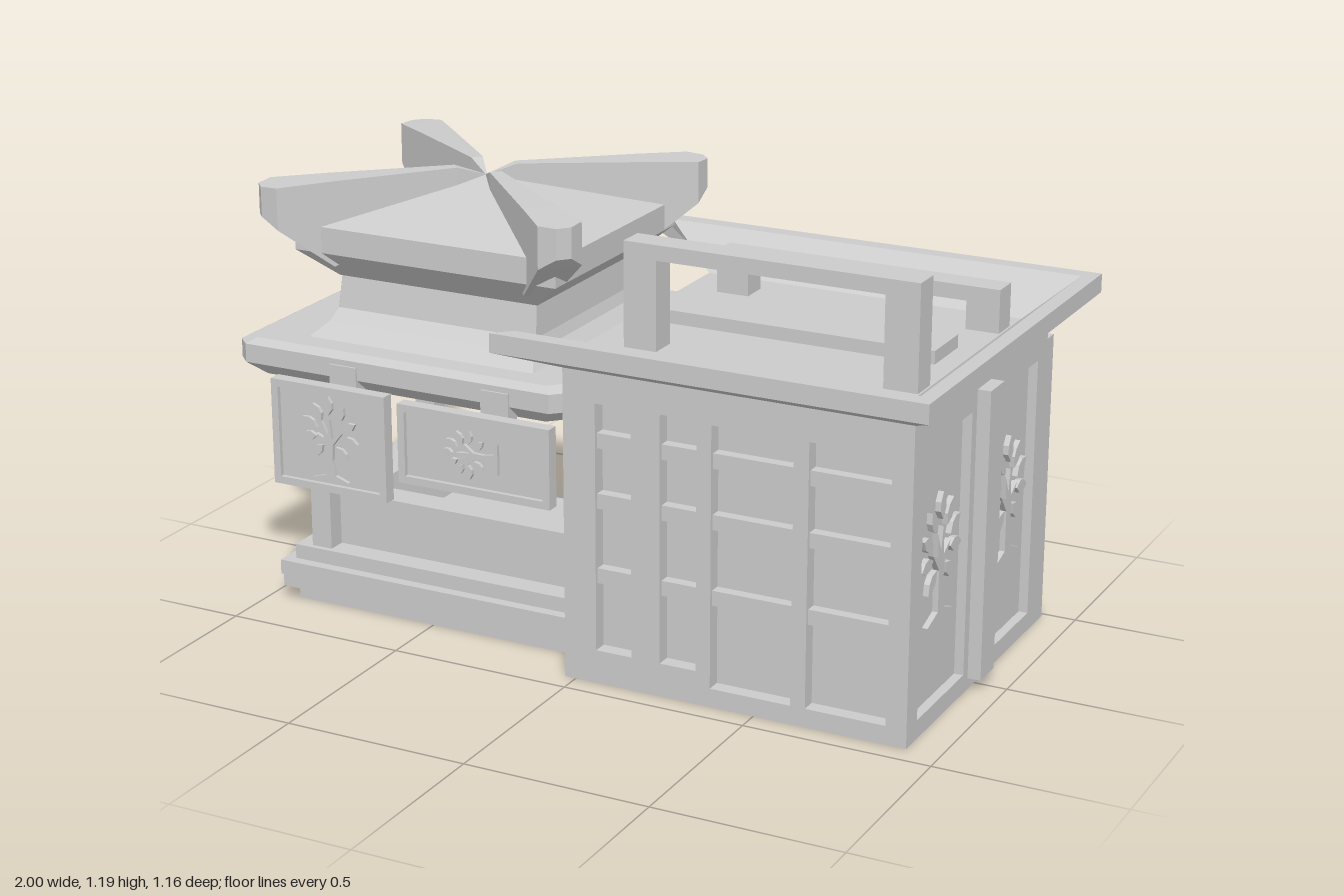
import * as THREE from 'three';

const mat = new THREE.MeshStandardMaterial({ color: 0xcccccc, flatShading: true });
const matDouble = new THREE.MeshStandardMaterial({ color: 0xcccccc, flatShading: true, side: THREE.DoubleSide });

function add(parent, name, geo, material = mat) {
  const mesh = new THREE.Mesh(geo, material);
  mesh.name = name;
  parent.add(mesh);
  return mesh;
}

// Box given by its limits on each axis
function box(parent, name, x0, x1, y0, y1, z0, z1) {
  const mesh = add(parent, name, new THREE.BoxGeometry(x1 - x0, y1 - y0, z1 - z0));
  mesh.position.set((x0 + x1) / 2, (y0 + y1) / 2, (z0 + z1) / 2);
  return mesh;
}

// Skin over equal-length rings of [x, y, z], with fan caps on both ends
function loft(rings) {
  const n = rings[0].length, idx = [], last = (rings.length - 1) * n;
  for (let r = 0; r < rings.length - 1; r++)
    for (let i = 0; i < n; i++) {
      const a = r * n + i, b = r * n + (i + 1) % n;
      idx.push(a, a + n, b, b, a + n, b + n);
    }
  for (let i = 1; i < n - 1; i++) idx.push(0, i, i + 1, last, last + i + 1, last + i);
  const geo = new THREE.BufferGeometry();
  geo.setAttribute('position', new THREE.Float32BufferAttribute(rings.flat(2), 3));
  geo.setIndex(idx);
  const flat = geo.toNonIndexed();
  flat.computeVertexNormals();
  return flat;
}

// Level rectangle with cut corners
function rectRing(cx, cz, y, hx, hz, c = 0.001) {
  const p = [[hx, hz - c], [hx - c, hz], [c - hx, hz], [-hx, hz - c], [-hx, c - hz], [c - hx, -hz], [hx - c, -hz], [hx, c - hz]];
  return p.map(([x, z]) => [cx + x, y, cz + z]);
}

const polygon = pts => new THREE.Shape(pts.map(p => new THREE.Vector2(...p)));
const rect = (x0, x1, y0, y1) => polygon([[x0, y0], [x1, y0], [x1, y1], [x0, y1]]);
const extrude = (shapes, depth) => new THREE.ExtrudeGeometry(shapes, { depth, bevelEnabled: false, curveSegments: 5 });

function frame(x0, x1, y0, y1, holes, depth) {
  const shape = rect(x0, x1, y0, y1);
  holes.forEach(h => shape.holes.push(rect(...h)));
  return extrude(shape, depth);
}

// Relief tree: trunk with branches and nine leaves, centred near the crown
function tree(depth) {
  const shapes = [polygon([[-0.08, -0.16], [0.08, -0.16], [0.025, -0.14], [0.014, -0.08], [0.016, -0.02], [0.055, 0.03],
    [0.012, 0.005], [0.004, 0.08], [-0.006, 0.02], [-0.03, 0.07], [-0.022, 0.005], [-0.055, 0.02], [-0.016, -0.03], [-0.016, -0.14]])];
  const leaves = [[0, 0.135, 90], [0.05, 0.105, 60], [0.085, 0.06, 30], [0.09, 0.005, -8], [0.055, -0.05, -45]];
  leaves.forEach(([x, y, deg], i) => {
    for (const s of i ? [1, -1] : [1]) {
      const a = deg * Math.PI / 180;
      const pts = [[-0.036, 0], [-0.012, 0.017], [0.012, 0.016], [0.036, 0], [0.012, -0.016], [-0.012, -0.017]]
        .map(([u, v]) => [s * (x + u * Math.cos(a) - v * Math.sin(a)), y + u * Math.sin(a) + v * Math.cos(a)]);
      shapes.push(polygon(pts));
    }
  });
  return extrude(shapes, depth);
}

function buildMainBlock(g) {
  box(g, 'blockCore', -0.03, 0.885, 0, 0.83, -0.4, 0.4);

  // Front wall: two narrow and two wide columns of recessed panes
  const cols = [[0.06, 0.16, 0.09, 0.75], [0.24, 0.34, 0.09, 0.75], [0.38, 0.6, 0.05, 0.745], [0.64, 0.855, 0.05, 0.745]];
  add(g, 'frontWall', frame(-0.03, 0.91, 0, 0.83, cols, 0.04)).position.z = 0.4;
  for (const [x0, x1] of cols)
    for (const y of [0.29, 0.49, 0.65]) box(g, 'frontBar', x0, x1, y - 0.02, y + 0.02, 0.4, 0.43);

  // Back wall: three columns, crossbars and end pilasters
  const backCols = [[0.07, 0.31, 0.05, 0.75], [0.35, 0.57, 0.05, 0.75], [0.61, 0.84, 0.05, 0.75]];
  add(g, 'backWall', frame(-0.03, 0.91, 0, 0.83, backCols, 0.04)).position.z = -0.44;
  for (const [x0, x1] of backCols)
    for (const y of [0.22, 0.4, 0.58]) box(g, 'backBar', x0, x1, y - 0.02, y + 0.02, -0.435, -0.4);
  box(g, 'backPilaster', 0.0, 0.05, 0, 0.79, -0.485, -0.44);
  box(g, 'backPilaster', 0.86, 0.91, 0, 0.79, -0.485, -0.44);

  // End wall: two recessed panels with trees and a central post
  const side = add(g, 'endWall', frame(-0.4, 0.4, 0, 0.83, [[-0.375, -0.075, 0.05, 0.75], [0.075, 0.375, 0.05, 0.75]], 0.025));
  side.rotation.y = Math.PI / 2;
  side.position.x = 0.885;
  for (const z of [0.22, -0.23]) {
    const t = add(g, 'endTree', tree(0.015));
    t.rotation.y = Math.PI / 2;
    t.position.set(0.885, 0.42, z);
  }
  box(g, 'endPost', 0.91, 0.945, 0.03, 0.8, -0.045, 0.045);
}

function buildTrayRoof(g) {
  // Flared rim running round three sides, cut diagonally at its two left ends
  const station = (s, xs) => [[xs[0], 0.83, s * 0.44], [xs[1], 0.89, s * 0.58], [xs[1], 0.94, s * 0.58],
    [xs[2], 0.94, s * 0.535], [xs[3], 0.855, s * 0.375], [xs[3], 0.83, s * 0.375]];
  add(g, 'trayRim', loft([
    station(1, [-0.03, -0.155, -0.11, -0.03]), station(1, [0.91, 1, 0.96, 0.86]),
    station(-1, [0.91, 1, 0.96, 0.86]), station(-1, [-0.03, -0.29, -0.22, -0.03]),
  ]), matDouble);
  box(g, 'trayFloor', -0.03, 0.87, 0.82, 0.855, -0.38, 0.38);
  box(g, 'trayDeck', -0.03, 0.805, 0.85, 0.89, -0.08, 0.07);

  // Two roof arches, the front one taller
  for (const [z, top] of [[0.22, 1.13], [-0.305, 0.97]]) {
    const arch = polygon([[0.065, 0.85], [0.155, 0.85], [0.155, top - 0.04], [0.765, top - 0.04], [0.765, 0.85],
      [0.855, 0.85], [0.855, top], [0.065, top]]);
    add(g, 'roofArch', extrude(arch, 0.075)).position.z = z;
  }
}

function buildPavilion(g) {
  // Stepped base
  for (const [y0, y1, o] of [[0, 0.04, 0], [0.04, 0.075, 0.03], [0.075, 0.115, 0.035], [0.115, 0.155, 0.005]])
    box(g, 'baseMoulding', -0.92 - o, -0.03, y0, y1, -0.31 - o, 0.31 + o);

  // Corner posts, doubled beside the main block
  for (const z of [-0.27, 0.27]) {
    box(g, 'cornerPost', -0.88, -0.82, 0.15, 0.7, z - 0.03, z + 0.03);
    box(g, 'innerPost', -0.08, -0.03, 0.15, 0.7, z - 0.04, z + 0.04);
  }

  // Low parapet on the front and the open end
  const wall = (z, hx, y) => [[-0.445 - hx, 0.15, z], [-0.445 + hx, 0.15, z], [-0.445 + hx, y, z], [-0.445 - hx, y, z]];
  add(g, 'frontParapet', loft([wall(0.17, 0.375, 0.305), wall(0.25, 0.375, 0.305)]), matDouble);
  const arm = (z, i) => [[-0.91, 0.15, z], [-0.75, 0.15, z], [-0.77, 0.3, z - i], [-0.885, 0.305, z - i], [-0.91, 0.28, z - i]];
  add(g, 'endParapet', loft([arm(-0.22, -0.03), arm(0.24, 0.03)]), matDouble);

  // Lower eave
  add(g, 'lowerEave', loft([
    rectRing(-0.515, -0.008, 0.665, 0.445, 0.41, 0.03), rectRing(-0.515, -0.008, 0.705, 0.485, 0.457, 0.035),
    rectRing(-0.515, -0.008, 0.755, 0.485, 0.457, 0.035), rectRing(-0.515, -0.008, 0.768, 0.46, 0.43, 0.03),
  ]), matDouble);

  // Flared neck and upper roof
  const cx = -0.495;
  add(g, 'neck', loft([rectRing(cx, 0, 0.76, 0.34, 0.37), rectRing(cx, 0, 0.8, 0.305, 0.3),
    rectRing(cx, 0, 0.83, 0.295, 0.27), rectRing(cx, 0, 0.92, 0.29, 0.255)]), matDouble);
  add(g, 'upperRoof', loft([rectRing(cx, 0, 0.915, 0.295, 0.26), rectRing(cx, 0, 0.99, 0.385, 0.328),
    rectRing(cx, 0, 1.06, 0.385, 0.328), rectRing(cx, 0, 1.16, 0.002, 0.002)]), matDouble);

  // Upturned corner horns: [distance along x, along z, half width, top, bottom]
  const horn = [[0, 0, 0.002, 1.16, 1.1], [0.06, 0.055, 0.016, 1.187, 1.1], [0.31, 0.27, 0.045, 1.178, 0.95],
    [0.42, 0.365, 0.058, 1.172, 1.06], [0.445, 0.39, 0.02, 1.17, 1.09]];
  for (const sx of [1, -1])
    for (const sz of [1, -1])
      add(g, 'cornerHorn', loft(horn.map(([x, z, w, t, b]) => {
        const a = [cx + sx * (x + w * 0.66), sz * (z - w * 0.75)], c = [cx + sx * (x - w * 0.66), sz * (z + w * 0.75)];
        return [[a[0], t, a[1]], [c[0], t, c[1]], [c[0], b, c[1]], [a[0], b, a[1]]];
      })), matDouble);
}

// Framed sign on a tapering bracket
function buildSign(g, name, x0, x1, y0, y1, z, treeScale, turn) {
  const sign = new THREE.Group();
  sign.name = name;
  g.add(sign);
  const cx = (x0 + x1) / 2, cy = (y0 + y1) / 2, m = 0.02;
  box(sign, 'signBoard', x0, x1, y0, y1, z - 0.035, z - 0.012);
  add(sign, 'signFrame', frame(x0, x1, y0, y1, [[x0 + m, x1 - m, y0 + m, y1 - m]], 0.012)).position.z = z - 0.012;
  const t = add(sign, 'signTree', tree(0.01));
  t.scale.set(treeScale, treeScale, 1);
  t.rotation.z = turn;
  t.position.set(cx + (turn ? -0.01 : 0), cy, z - 0.012);
  const ring = (zz, k) => [[-1, -1], [1, -1], [1, 1], [-1, 1]].map(([u, v]) => [cx + u * k * (x1 - x0) / 2, cy + v * k * (y1 - y0) / 2, zz]);
  add(sign, 'signBracket', loft([ring(z - 0.035, 0.9), ring(0.46, 0.35), ring(0.42, 0.3)]), matDouble);
  box(sign, 'signHanger', cx - 0.04, cx + 0.04, cy, 0.74, 0.41, 0.455);
}

export function createModel() {
  const model = new THREE.Group();
  model.name = 'pavilionBuilding';
  const parts = { mainBlock: buildMainBlock, trayRoof: buildTrayRoof, pavilion: buildPavilion };
  for (const [name, build] of Object.entries(parts)) {
    const g = new THREE.Group();
    g.name = name;
    build(g);
    model.add(g);
  }
  buildSign(model, 'leftSign', -0.835, -0.495, 0.42, 0.705, 0.53, 0.68, 0);
  buildSign(model, 'rightSign', -0.435, 0, 0.5, 0.71, 0.565, 0.5, Math.PI / 2);
  return model;
}
